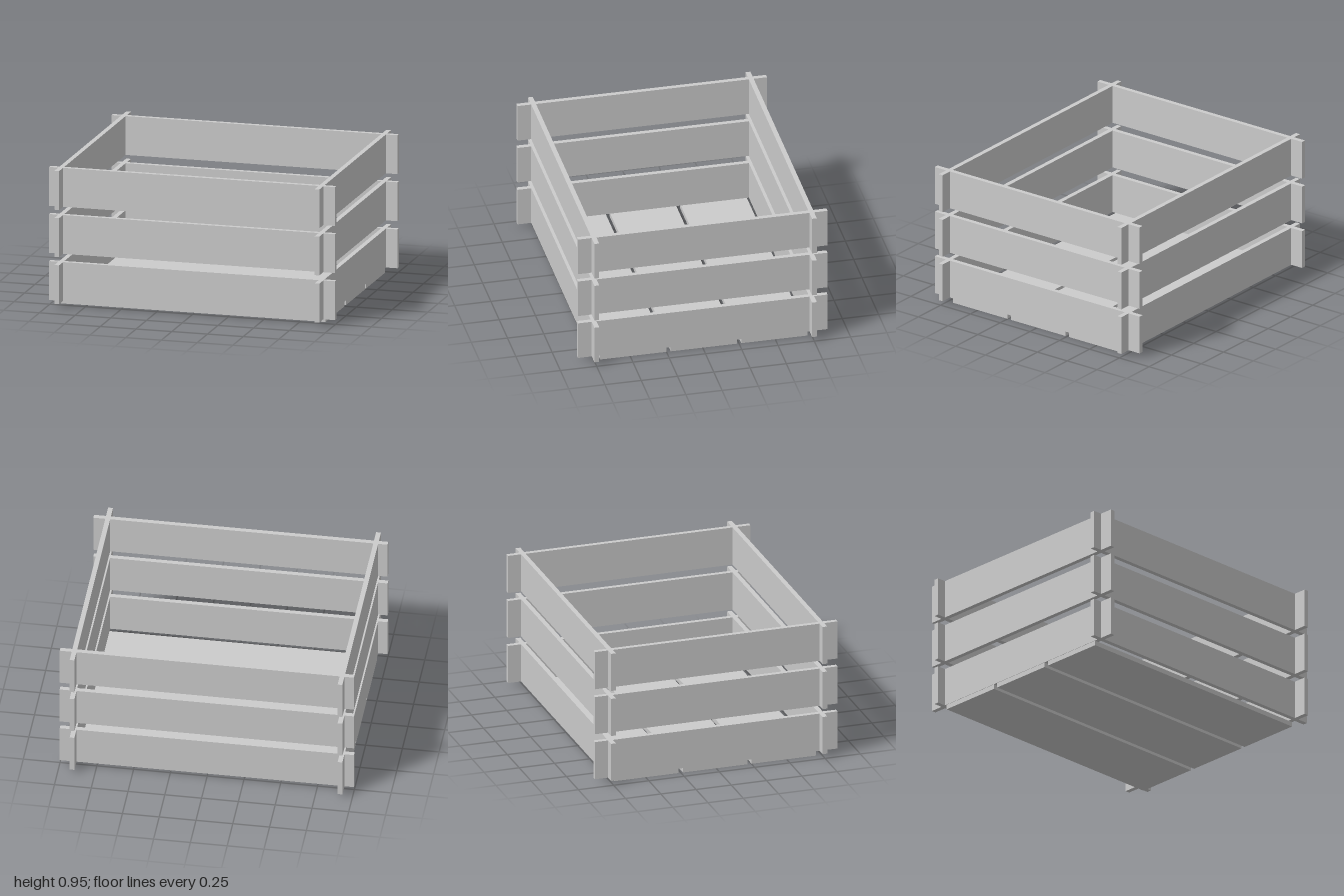
import * as THREE from 'three';

export function createModel() {
  const crate = new THREE.Group();
  crate.name = 'slattedCrate';
  const material = new THREE.MeshStandardMaterial({ color: 0xcccccc, flatShading: true });

  const T = 0.033;        // board thickness
  const BOARD_H = 0.269;  // wall board height
  const PITCH = 0.326;    // distance between wall courses

  function board(name, w, h, d, x, y, z, parent) {
    const mesh = new THREE.Mesh(new THREE.BoxGeometry(w, h, d), material);
    mesh.name = name;
    mesh.position.set(x, y, z);
    parent.add(mesh);
  }

  // Three floor slats, with narrow gaps between them
  const floor = new THREE.Group();
  floor.name = 'floor';
  for (let i = -1; i <= 1; i++) {
    board('floorSlat', 1.85, T, 0.455, -0.008, T / 2, -0.007 + i * 0.486, floor);
  }
  crate.add(floor);

  // Three courses of wall boards that cross and overhang at the corners
  for (let i = 0; i < 3; i++) {
    const course = new THREE.Group();
    course.name = 'wallCourse' + (i + 1);
    const y = T + BOARD_H / 2 + i * PITCH;
    board('frontBoard', 2, BOARD_H, T, 0, y, 0.749, course);
    board('backBoard', 2, BOARD_H, T, 0, y, -0.751, course);
    board('leftBoard', T, BOARD_H, 1.72, 0.902, y, 0, course);
    board('rightBoard', T, BOARD_H, 1.72, -0.919, y, 0, course);
    crate.add(course);
  }
  return crate;
}
